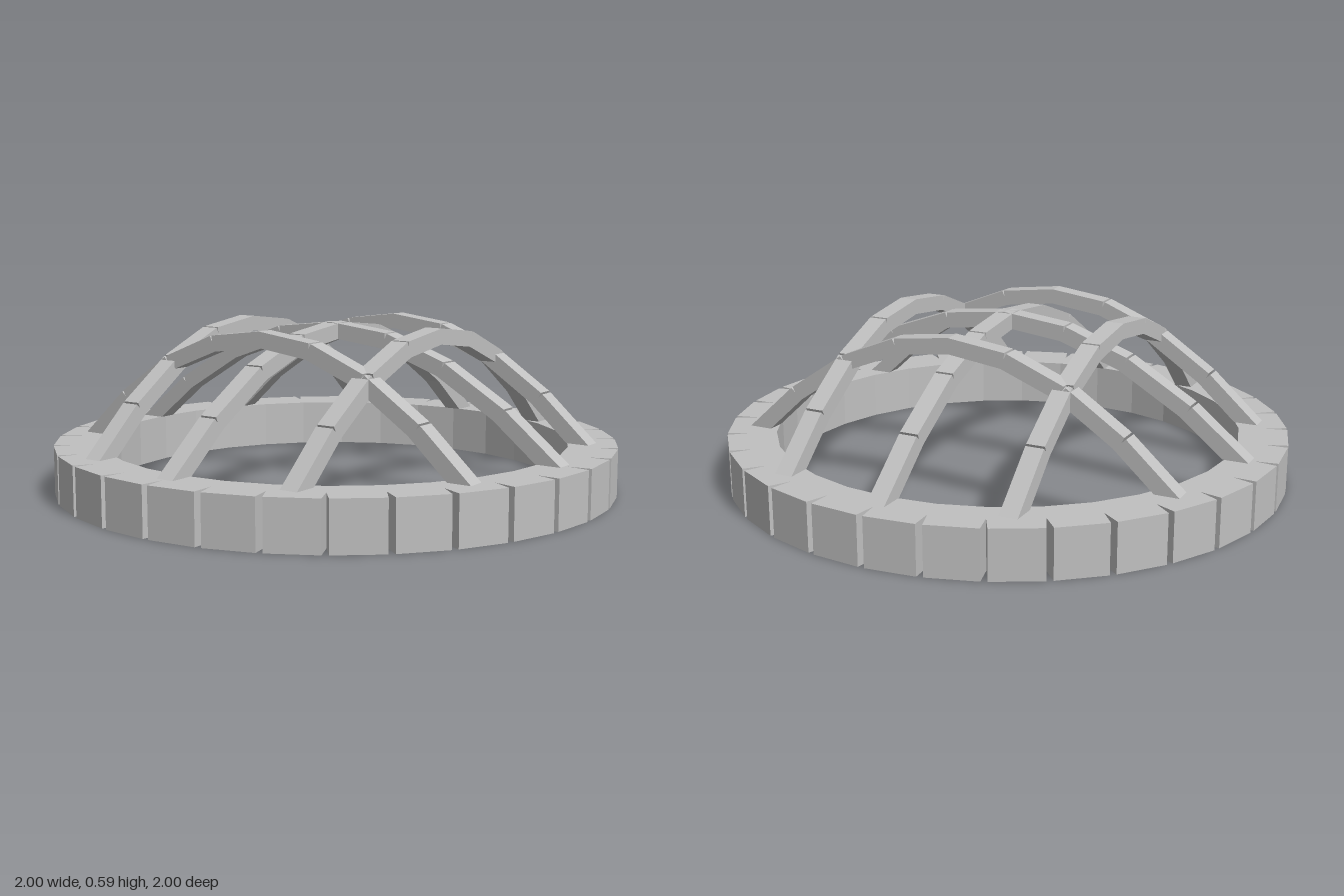
import * as THREE from 'three';

const RING_HEIGHT = 0.17;

// Ring with 32 facets and a V-shaped notch at every corner
function ringGeometry() {
  const sides = 32;
  const polar = (r, a) => new THREE.Vector2(r * Math.cos(a), r * Math.sin(a));
  const outer = [], inner = [];
  for (let i = 0; i < sides; i++) {
    const a = (i / sides) * Math.PI * 2;
    outer.push(polar(1, a - 0.011), polar(0.92, a), polar(1, a + 0.011));
    inner.push(polar(0.828, a));
  }
  const shape = new THREE.Shape(outer);
  shape.holes.push(new THREE.Path(inner));
  const geo = new THREE.ExtrudeGeometry(shape, { depth: RING_HEIGHT, bevelEnabled: false });
  return geo.rotateX(-Math.PI / 2);
}

// Faceted arch along x, with a thin groove across its back at every joint
function archGeometry(halfSpan, innerSpan) {
  const top = [[0, 0.59], [0.257, 0.563], [0.515, 0.478], [0.772, 0.338], [1, RING_HEIGHT]];
  const under = [[0, 0.535], [0.262, 0.51], [0.535, 0.432], [0.805, 0.3], [1, RING_HEIGHT]];
  const mirrored = (half, span) => {
    const pts = half.map(([x, y]) => new THREE.Vector2(x * span, y));
    return [...pts.slice(1).reverse().map((p) => new THREE.Vector2(-p.x, p.y)), ...pts];
  };
  const back = mirrored(top, halfSpan);
  const outline = [];
  back.forEach((p, i) => {
    if (i === 0 || i === back.length - 1 || p.x === 0) return outline.push(p);
    const along = back[i + 1].clone().sub(back[i - 1]).normalize();
    const inward = new THREE.Vector2(along.y, -along.x);
    outline.push(
      p.clone().addScaledVector(along, -0.004),
      p.clone().addScaledVector(inward, 0.02),
      p.clone().addScaledVector(along, 0.004)
    );
  });
  outline.push(...mirrored(under, innerSpan).reverse());
  const width = 0.064;
  const geo = new THREE.ExtrudeGeometry(new THREE.Shape(outline), { depth: width, bevelEnabled: false });
  return geo.translate(0, 0, -width / 2);
}

export function createModel() {
  const model = new THREE.Group();
  model.name = 'domedGrille';
  const grey = new THREE.MeshStandardMaterial({ color: 0xc0c0c0 });
  grey.name = 'plain grey';

  const ring = new THREE.Mesh(ringGeometry(), grey);
  ring.name = 'notchedRing';
  model.add(ring);

  // Three arches each way, crossing in a grid
  const centre = archGeometry(0.91, 0.82);
  const side = archGeometry(0.815, 0.73);
  for (const [turn, label] of [[0, 'crosswiseArch'], [Math.PI / 2, 'lengthwiseArch']]) {
    const set = new THREE.Group();
    set.name = label + 'es';
    set.rotation.y = turn;
    for (const offset of [-0.408, 0, 0.408]) {
      const arch = new THREE.Mesh(offset === 0 ? centre : side, grey);
      arch.name = label;
      arch.position.z = offset;
      set.add(arch);
    }
    model.add(set);
  }
  return model;
}
